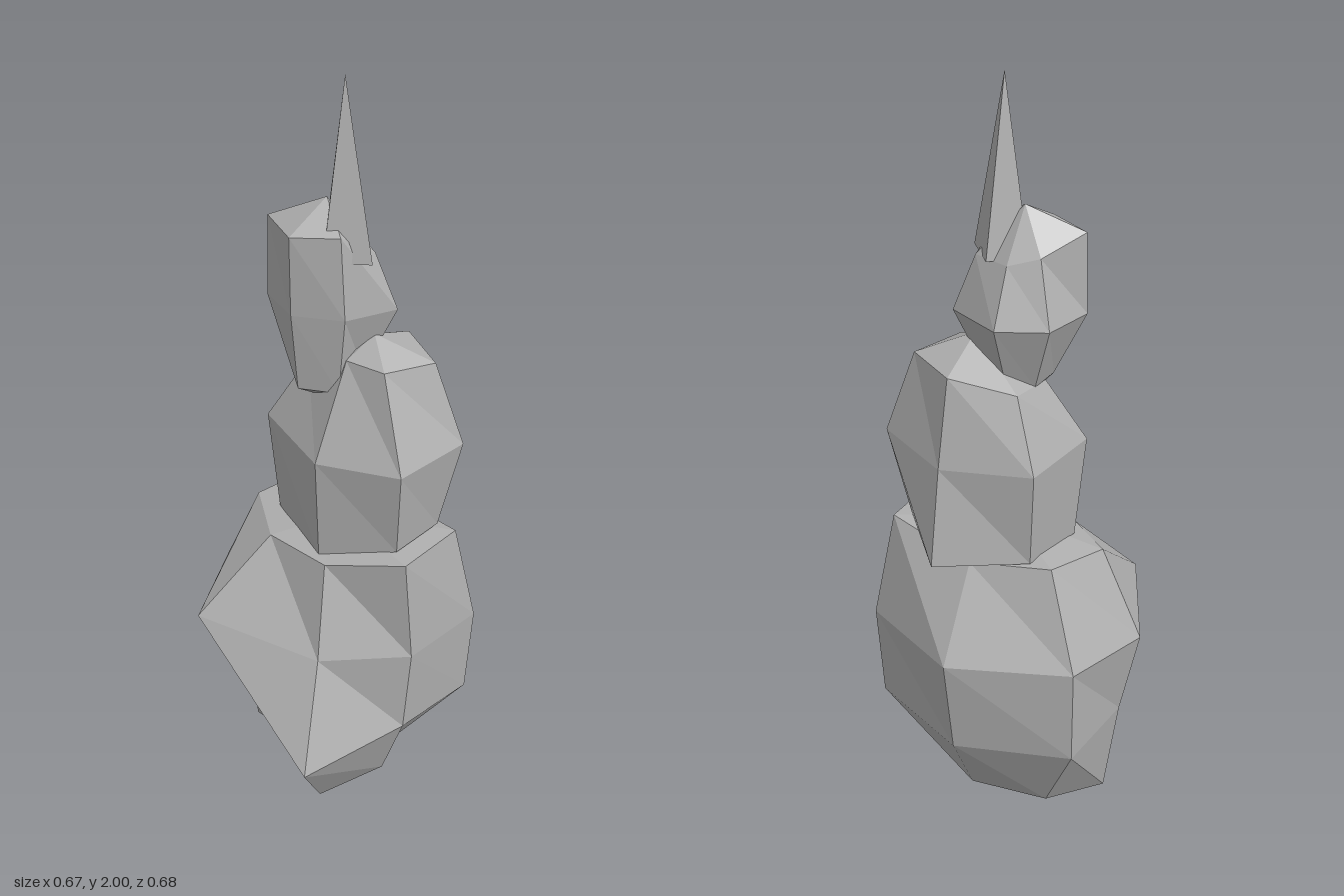
import * as THREE from 'three';

const stone = new THREE.MeshStandardMaterial({ color: 0xb0b0b0 });
stone.name = 'grey stone';

// Faceted solid: loops of corners from bottom to top, closed by two end points.
function facetedSolid(name, bottom, rings, top) {
  const pos = [];
  const tri = (a, b, c) => pos.push(...a, ...b, ...c);
  const n = rings[0].length;
  for (let j = 0; j < n; j++) {
    const k = (j + 1) % n;
    tri(bottom, rings[0][j], rings[0][k]);
    for (let i = 0; i < rings.length - 1; i++) {
      const lo = rings[i], hi = rings[i + 1];
      tri(lo[j], hi[j], hi[k]);
      tri(lo[j], hi[k], lo[k]);
    }
    const last = rings[rings.length - 1];
    tri(top, last[k], last[j]);
  }
  const geo = new THREE.BufferGeometry();
  geo.setAttribute('position', new THREE.Float32BufferAttribute(pos, 3));
  geo.computeVertexNormals();
  const mesh = new THREE.Mesh(geo, stone);
  mesh.name = name;
  return mesh;
}

export function createModel() {
  const model = new THREE.Group();
  model.name = 'stackedRocks';

  // Wide seven-sided boulder at the bottom
  model.add(facetedSolid('baseBoulder', [0, 0.06, 0], [
    [[0.228, 0.07, 0.03], [0.134, 0.01, 0.18], [-0.06, 0.075, 0.11], [-0.238, 0, 0.05],
      [-0.16, 0.04, -0.13], [0.04, 0.055, -0.19], [0.17, 0.065, -0.1]],
    [[0.31, 0.28, 0.045], [0.228, 0.245, 0.338], [-0.11, 0.28, 0.16], [-0.28, 0.285, 0.05],
      [-0.28, 0.28, -0.2], [0.02, 0.265, -0.305], [0.317, 0.27, -0.206]],
    [[0.328, 0.525, 0.04], [0.164, 0.525, 0.218], [-0.168, 0.557, 0.325], [-0.334, 0.535, 0.053],
      [-0.285, 0.55, -0.206], [0.02, 0.54, -0.34], [0.333, 0.525, -0.21]],
    [[0.312, 0.815, 0.055], [0.12, 0.77, 0.145], [-0.078, 0.765, 0.139], [-0.224, 0.78, 0.036],
      [-0.18, 0.8, -0.145], [0.03, 0.78, -0.2], [0.3, 0.81, -0.155]],
  ], [0.04, 0.82, 0]));

  // Six-sided boulder in the middle, leaning back
  model.add(facetedSolid('middleBoulder', [0.08, 0.74, -0.08], [
    [[0.26, 0.82, 0.03], [0.081, 0.765, 0.125], [-0.13, 0.79, 0.05],
      [-0.12, 0.8, -0.15], [0.081, 0.8, -0.295], [0.255, 0.82, -0.135]],
    [[0.285, 1.06, 0.05], [0.081, 1.055, 0.137], [-0.153, 1.07, 0.065],
      [-0.139, 1.06, -0.164], [0.081, 1.06, -0.254], [0.303, 1.07, -0.165]],
    [[0.19, 1.3, 0.01], [0.081, 1.3, 0.025], [-0.07, 1.24, 0],
      [-0.07, 1.25, -0.13], [0.081, 1.29, -0.207], [0.235, 1.29, -0.128]],
  ], [0.1, 1.35, -0.055]));

  // Small six-sided rock on top
  model.add(facetedSolid('topRock', [0, 1.155, 0], [
    [[0.07, 1.21, 0.04], [-0.02, 1.21, 0.09], [-0.075, 1.25, 0.03],
      [-0.07, 1.24, -0.05], [-0.01, 1.22, -0.08], [0.07, 1.24, -0.05]],
    [[0.094, 1.42, 0.045], [-0.02, 1.42, 0.112], [-0.15, 1.415, 0.06],
      [-0.132, 1.415, -0.085], [-0.018, 1.415, -0.152], [0.139, 1.415, -0.094]],
    [[0.08, 1.63, 0.045], [-0.02, 1.625, 0.115], [-0.148, 1.625, 0.056],
      [-0.085, 1.58, -0.05], [-0.015, 1.56, -0.09], [0.09, 1.56, -0.065]],
  ], [-0.016, 1.69, -0.01]));

  // Sharp four-sided spike
  model.add(facetedSolid('spike', [0.04, 1.56, -0.01], [
    [[0.13, 1.56, -0.01], [0.04, 1.56, 0.065], [-0.025, 1.56, -0.01], [0.04, 1.56, -0.095]],
  ], [0.04, 2, -0.01]));

  return model;
}
